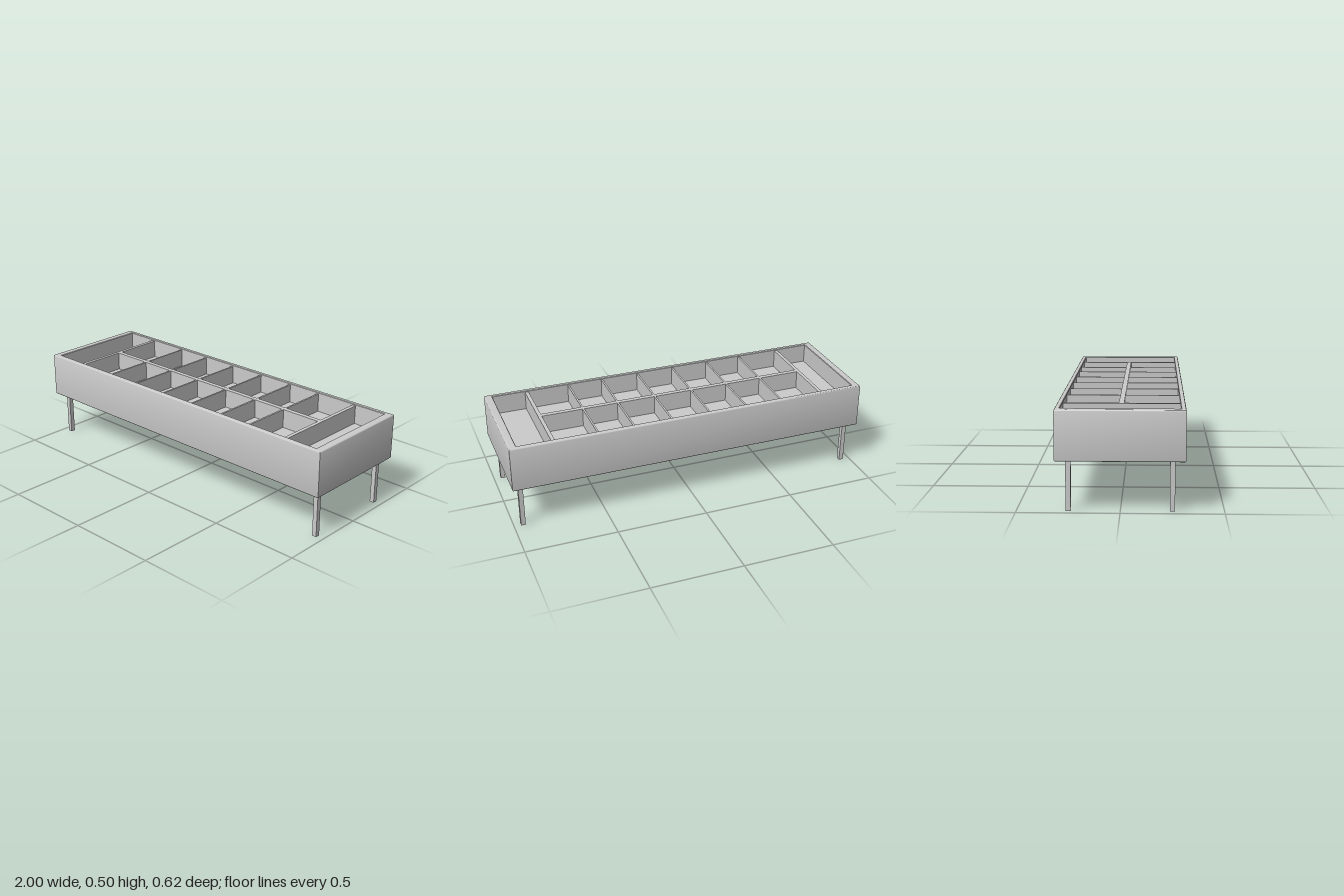
import * as THREE from 'three';
import { toCreasedNormals } from 'three/addons/utils/BufferGeometryUtils.js';

const material = new THREE.MeshStandardMaterial({ color: 0xcccccc });
const FLOOR = 0.39, DIVIDER_TOP = 0.492;
const INNER_X = 0.958, INNER_Z = 0.287;

// Skins a list of rectangular rings [halfX, y, halfZ], ordered bottom centre -> rim -> well floor.
function rectangularLoft(rings) {
  const corners = [[1, 1], [1, -1], [-1, -1], [-1, 1]];
  const point = (i, j) => {
    const [hx, y, hz] = rings[i], [sx, sz] = corners[j % 4];
    return [hx * sx, y, hz * sz];
  };
  const positions = [];
  for (let i = 0; i < rings.length - 1; i++) {
    for (let j = 0; j < 4; j++) {
      const a = point(i, j), b = point(i, j + 1), c = point(i + 1, j + 1), d = point(i + 1, j);
      if (rings[i][0] > 0) positions.push(...a, ...b, ...c);
      if (rings[i + 1][0] > 0) positions.push(...a, ...c, ...d);
    }
  }
  const geometry = new THREE.BufferGeometry();
  geometry.setAttribute('position', new THREE.Float32BufferAttribute(positions, 3));
  geometry.computeVertexNormals();
  return toCreasedNormals(geometry, 0.7);
}

function addBox(parent, name, w, h, d, x, y, z) {
  const mesh = new THREE.Mesh(new THREE.BoxGeometry(w, h, d), material);
  mesh.name = name;
  mesh.position.set(x, y, z);
  parent.add(mesh);
}

export function createModel() {
  const model = new THREE.Group();
  model.name = 'compartmentTable';

  // Hollow tray body with softened outer edges and a tiny inner lip
  const r = 0.007, hx = 1, hz = 0.3125, bottom = 0.25, top = 0.5, lip = 0.003;
  const rings = [[0, bottom, 0]];
  const addRound = (cy, from) => {
    for (let k = 0; k <= 3; k++) {
      const t = from + (k / 3) * Math.PI / 2;
      const inset = r * (1 - Math.cos(t));
      rings.push([hx - inset, cy + r * Math.sin(t), hz - inset]);
    }
  };
  addRound(bottom + r, -Math.PI / 2);
  addRound(top - r, 0);
  rings.push(
    [INNER_X + lip, top, INNER_Z + lip],
    [INNER_X, top - lip, INNER_Z],
    [INNER_X, FLOOR, INNER_Z],
    [0, FLOOR, 0],
  );
  const body = new THREE.Mesh(rectangularLoft(rings), material);
  body.name = 'trayBody';
  model.add(body);

  // Dividers: two end walls, a central spine and thin cross walls
  const dividers = new THREE.Group();
  dividers.name = 'dividers';
  model.add(dividers);
  const h = DIVIDER_TOP - FLOOR, y = FLOOR + h / 2;
  for (const s of [-1, 1]) addBox(dividers, 'endDivider', 0.02, h, 2 * INNER_Z, s * 0.765, y, 0);
  addBox(dividers, 'centreDivider', 1.52, h, 0.026, 0, y, 0);
  for (const x of [-0.52, -0.313, -0.1, 0.115, 0.328, 0.525]) {
    for (const s of [-1, 1]) {
      addBox(dividers, 'crossDivider', 0.01, h, INNER_Z - 0.01, x, y, s * (INNER_Z + 0.01) / 2);
    }
  }

  // Four slim square legs
  for (const sx of [-1, 1]) {
    for (const sz of [-1, 1]) addBox(model, 'leg', 0.025, 0.252, 0.025, sx * 0.95, 0.126, sz * 0.25);
  }
  return model;
}
